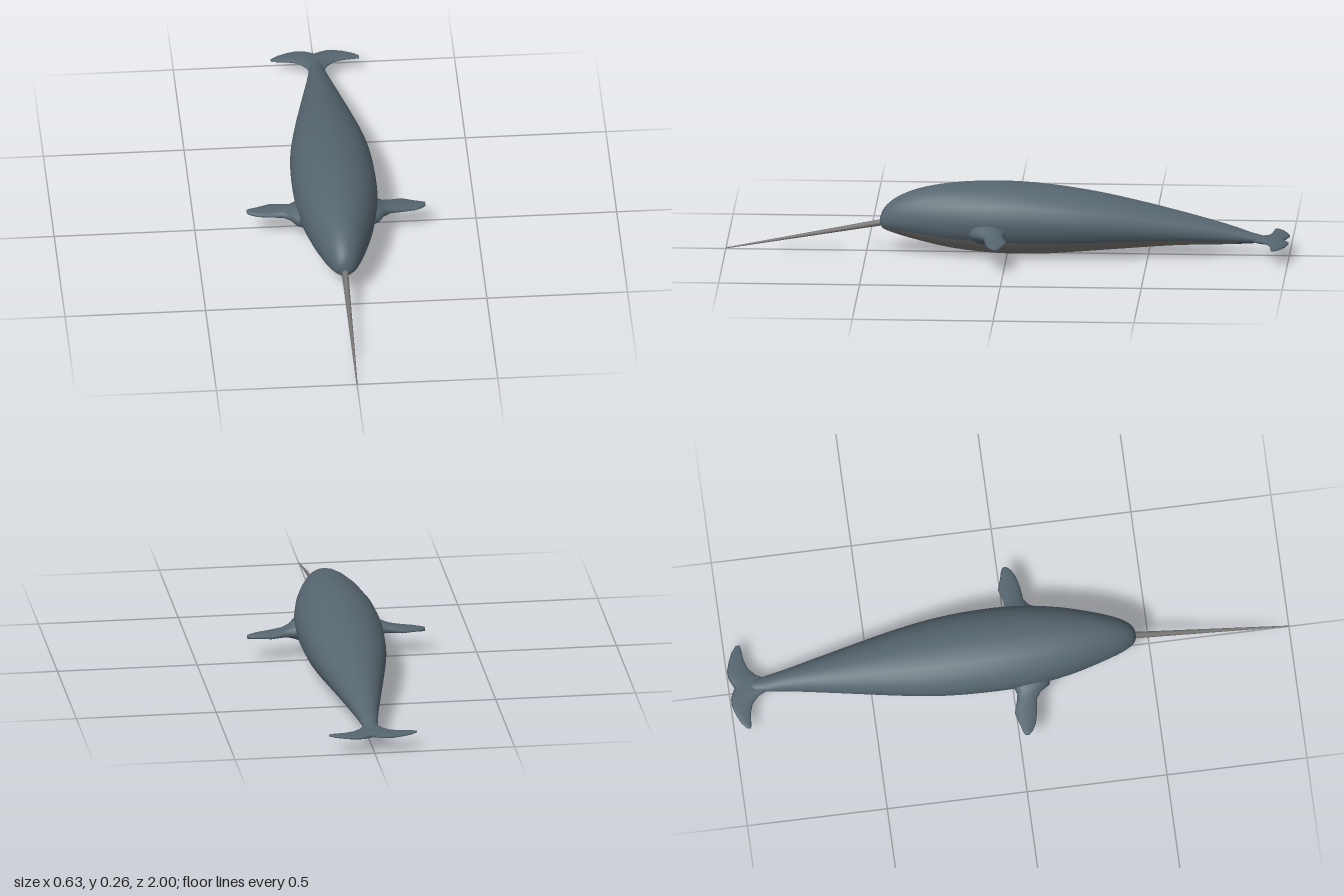
import * as THREE from 'three';

const slate = new THREE.MeshStandardMaterial({ color: 0x56656f });
slate.name = 'slate skin';
const grey = new THREE.MeshStandardMaterial({ color: 0x787674 });
grey.name = 'grey belly and tusk';

// Skin a list of closed rings of [x, y, z]; isSecond(ring, segment) picks material 1
function loft(name, rings, isSecond = () => false) {
  const n = rings[0].length;
  const positions = rings.flat(2);
  const faces = [[], []];
  for (let i = 0; i < rings.length - 1; i++) {
    for (let j = 0; j < n; j++) {
      const a = i * n + j, b = i * n + (j + 1) % n;
      faces[isSecond(i, j) ? 1 : 0].push(a, a + n, b, b, a + n, b + n);
    }
  }
  // End caps
  const last = (rings.length - 1) * n;
  for (let j = 1; j < n - 1; j++) {
    faces[0].push(0, j, j + 1, last, last + j + 1, last + j);
  }
  const geometry = new THREE.BufferGeometry();
  geometry.setAttribute('position', new THREE.Float32BufferAttribute(positions, 3));
  geometry.setIndex(faces.flat());
  geometry.addGroup(0, faces[0].length, 0);
  geometry.addGroup(faces[0].length, faces[1].length, 1);
  geometry.computeVertexNormals();
  const mesh = new THREE.Mesh(geometry, [slate, grey]);
  mesh.name = name;
  return mesh;
}

// Body stations: z, top, bottom, half width, height of widest line
const STATIONS = [
  [0.452, 0.125, 0.098, 0.014, 0.112],
  [0.44, 0.155, 0.083, 0.034, 0.114],
  [0.40, 0.193, 0.068, 0.059, 0.118],
  [0.32, 0.228, 0.046, 0.088, 0.123],
  [0.20, 0.25, 0.02, 0.122, 0.128],
  [0.05, 0.258, 0.004, 0.146, 0.132],
  [-0.10, 0.252, 0.002, 0.15, 0.132],
  [-0.25, 0.234, 0.012, 0.142, 0.124],
  [-0.40, 0.207, 0.024, 0.12, 0.114],
  [-0.60, 0.161, 0.038, 0.08, 0.095],
  [-0.78, 0.113, 0.042, 0.043, 0.075],
  [-0.87, 0.083, 0.046, 0.028, 0.064],
  [-0.94, 0.066, 0.052, 0.016, 0.059],
];

function body() {
  const heights = new THREE.CatmullRomCurve3(STATIONS.map(s => new THREE.Vector3(s[0], s[1], s[2])), false, 'catmullrom', 0.5);
  const widths = new THREE.CatmullRomCurve3(STATIONS.map(s => new THREE.Vector3(s[3], s[4], 0)), false, 'catmullrom', 0.5);
  const steps = (STATIONS.length - 1) * 3, segments = 24, rings = [];
  for (let i = 0; i <= steps; i++) {
    const h = heights.getPoint(i / steps), w = widths.getPoint(i / steps);
    const ring = [];
    for (let j = 0; j < segments; j++) {
      const a = j / segments * Math.PI * 2, s = Math.sin(a);
      const y = w.y + s * (s > 0 ? h.y - w.y : w.y - h.z);
      ring.push([w.x * Math.cos(a), y, h.x]);
    }
    rings.push(ring);
  }
  // The underside, from 30 degrees below the widest line, is the pale belly
  return loft('body', rings, (i, j) => j >= 14 && j < 22 && i > 0 && i < steps - 5);
}

// Fin section across x: flattened oval from rear z to front z
function finRing(x, rear, front, y, half, direction = 1) {
  const ring = [];
  for (let j = 0; j < 12; j++) {
    const a = j / 12 * Math.PI * 2;
    ring.push([x, y + direction * half * Math.sin(a), (rear + front) / 2 + (front - rear) / 2 * Math.cos(a)]);
  }
  return ring;
}

// Flipper stations: x, rear z, front z, height, half thickness
const FLIPPER = [
  [0.10, -0.01, 0.14, 0.098, 0.05],
  [0.145, 0.0, 0.125, 0.098, 0.032],
  [0.165, 0.008, 0.092, 0.096, 0.022],
  [0.19, 0.003, 0.075, 0.095, 0.016],
  [0.235, -0.01, 0.07, 0.092, 0.011],
  [0.28, 0.004, 0.06, 0.09, 0.009],
  [0.305, 0.01, 0.046, 0.089, 0.008],
  [0.317, 0.016, 0.034, 0.089, 0.007],
];

function flipper(side) {
  const rings = FLIPPER.map(([x, rear, front, y, half]) => finRing(side * x, rear, front, y, half, side));
  return loft(side > 0 ? 'leftFlipper' : 'rightFlipper', rings);
}

// Fluke stations from the notch to the tip: x, rear z, front z, half thickness
const FLUKE = [
  [0, -0.982, -0.84, 0.012],
  [0.025, -0.994, -0.87, 0.011],
  [0.04, -0.999, -0.90, 0.009],
  [0.065, -1.0, -0.924, 0.008],
  [0.10, -0.99, -0.936, 0.007],
  [0.135, -0.975, -0.939, 0.005],
  [0.157, -0.957, -0.942, 0.003],
];

function flukes() {
  const right = FLUKE.slice(1).reverse().map(([x, ...rest]) => [-x, ...rest]);
  const rings = [...right, ...FLUKE].map(([x, rear, front, half]) => finRing(x, rear, front, 0.058, half));
  return loft('tailFlukes', rings);
}

// Long straight tusk sloping down from the snout
function tusk() {
  const base = new THREE.Vector3(0, 0.108, 0.43), tip = new THREE.Vector3(0, 0.004, 1);
  const along = tip.clone().sub(base);
  const mesh = new THREE.Mesh(new THREE.CylinderGeometry(0.002, 0.012, along.length(), 10), grey);
  mesh.position.copy(base).add(tip).multiplyScalar(0.5);
  mesh.quaternion.setFromUnitVectors(new THREE.Vector3(0, 1, 0), along.normalize());
  mesh.name = 'tusk';
  return mesh;
}

export function createModel() {
  const group = new THREE.Group();
  group.name = 'narwhal';
  group.add(body(), flipper(1), flipper(-1), flukes(), tusk());
  return group;
}
